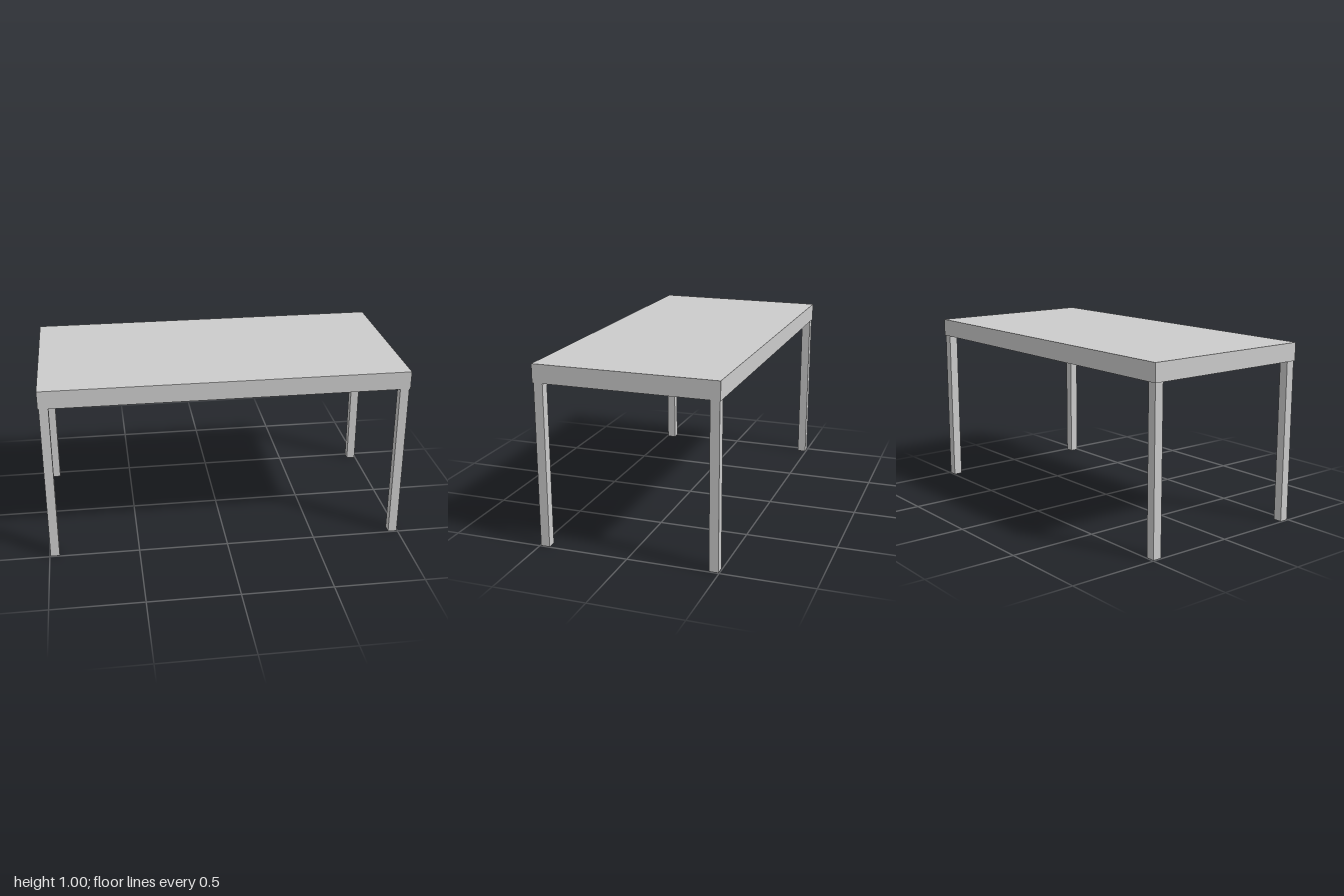
import * as THREE from 'three';

export function createModel() {
  const table = new THREE.Group();
  table.name = 'table';
  const material = new THREE.MeshStandardMaterial({ color: 0xcccccc });

  const addBox = (name, size, position) => {
    const mesh = new THREE.Mesh(new THREE.BoxGeometry(...size), material);
    mesh.name = name;
    mesh.position.set(...position);
    table.add(mesh);
  };

  // Thick slab top
  addBox('tableTop', [2, 0.1, 1], [0, 0.95, 0]);

  // Four square legs, set in slightly from the edges of the top
  for (const [side, x] of [['Left', 0.97], ['Right', -0.97]]) {
    for (const [end, z] of [['front', 0.47], ['back', -0.47]]) {
      addBox(`${end}${side}Leg`, [0.05, 0.9, 0.05], [x, 0.45, z]);
    }
  }

  return table;
}
